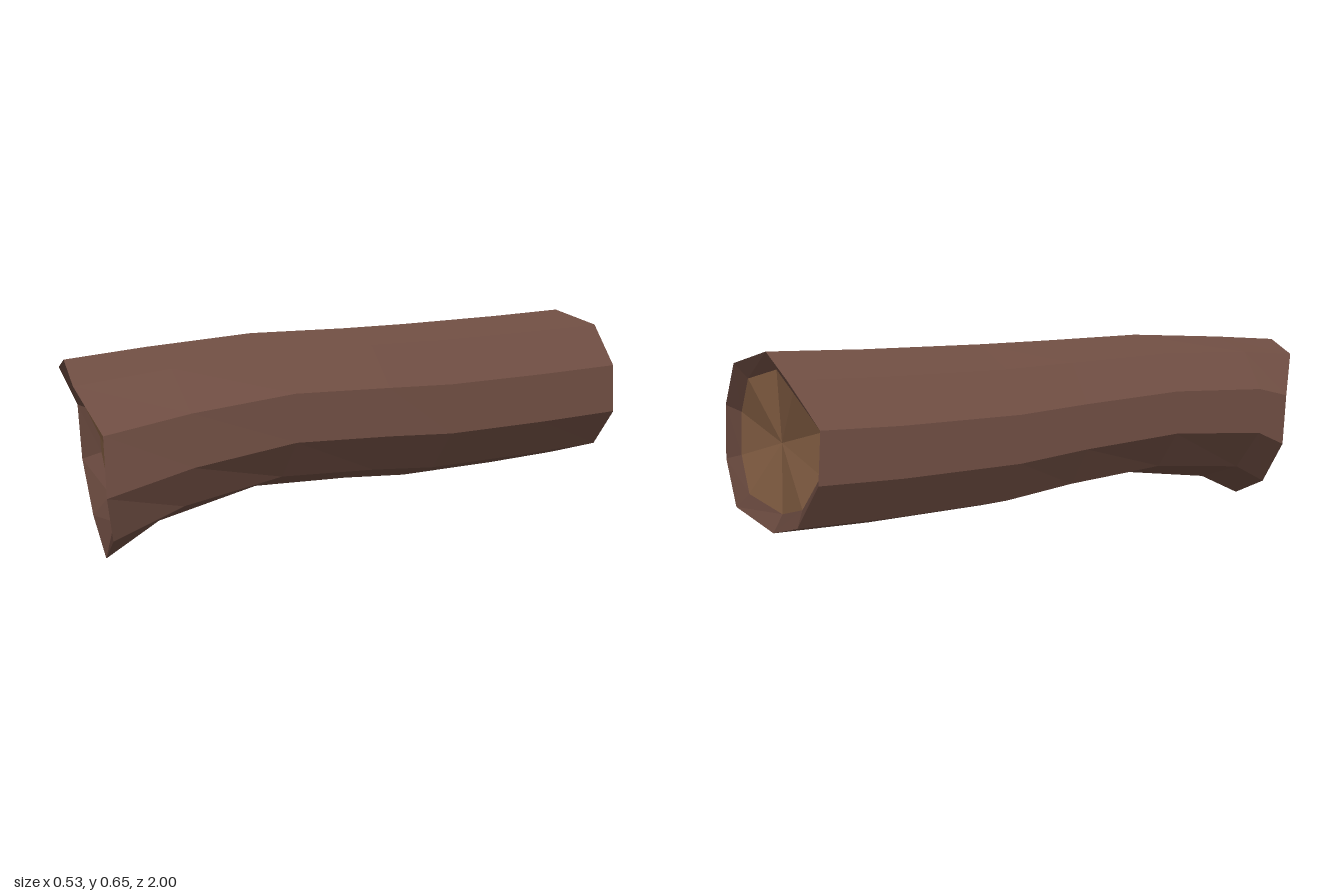
import * as THREE from 'three';

const SIDES = 10;

// End outlines [x, y, z], starting at the top and running towards +x
const frontEnd = [
  [-0.04, 0.577, 0.955], [0.125, 0.52, 1.0], [0.245, 0.395, 0.97], [0.258, 0.225, 0.97], [0.205, 0.09, 0.93],
  [0.045, 0, 0.88], [-0.15, 0.085, 0.83], [-0.265, 0.24, 0.81], [-0.265, 0.41, 0.82], [-0.185, 0.54, 0.91],
];
const backEnd = [
  [0.005, 0.65, -0.95], [0.162, 0.603, -0.99], [0.262, 0.465, -0.985], [0.265, 0.3, -0.99], [0.165, 0.17, -1.0],
  [0.0, 0.118, -0.95], [-0.16, 0.165, -0.94], [-0.248, 0.3, -0.91], [-0.25, 0.455, -0.9], [-0.16, 0.587, -0.955],
];
// Inner edge of the bark at the front, [x, y]
const frontInner = [
  [-0.04, 0.52], [0.09, 0.475], [0.19, 0.375], [0.21, 0.265], [0.15, 0.17],
  [0.05, 0.1], [-0.11, 0.15], [-0.21, 0.265], [-0.21, 0.395], [-0.15, 0.495],
];
// Sections along the trunk: z, top, bottom, left, right, blend from front to back outline
const sections = [
  [0.7, 0.6, 0.085, -0.262, 0.254, 0.25],
  [0.35, 0.625, 0.145, -0.25, 0.248, 0.7],
  [0.0, 0.625, 0.13, -0.237, 0.248, 0.9],
  [-0.25, 0.628, 0.11, -0.246, 0.25, 1],
  [-0.65, 0.638, 0.11, -0.252, 0.254, 1],
];

// Outline scaled into a unit box
function normalise(ring) {
  const xs = ring.map(p => p[0]), ys = ring.map(p => p[1]);
  const l = Math.min(...xs), r = Math.max(...xs), b = Math.min(...ys), t = Math.max(...ys);
  return ring.map(p => [(p[0] - l) / (r - l), (p[1] - b) / (t - b)]);
}

function geometryFrom(points, index) {
  const g = new THREE.BufferGeometry();
  g.setAttribute('position', new THREE.Float32BufferAttribute(points.flat(), 3));
  g.setIndex(index);
  const flat = g.toNonIndexed();
  flat.computeVertexNormals();
  return flat;
}

// Skin over a list of rings
function loft(rings) {
  const index = [];
  for (let i = 0; i < rings.length - 1; i++) {
    for (let k = 0; k < SIDES; k++) {
      const n = (k + 1) % SIDES;
      const a = i * SIDES + k, b = i * SIDES + n, c = b + SIDES, d = a + SIDES;
      index.push(a, b, c, a, c, d);
    }
  }
  return geometryFrom(rings.flat(), index);
}

// Slightly dished cut face; facing is 1 for +z and -1 for -z
function cutFace(ring, facing) {
  const centre = [0, 1, 2].map(j => ring.reduce((s, p) => s + p[j], 0) / SIDES);
  centre[2] -= 0.015 * facing;
  const index = [];
  for (let k = 0; k < SIDES; k++) {
    const n = (k + 1) % SIDES;
    index.push(SIDES, ...(facing > 0 ? [n, k] : [k, n]));
  }
  return geometryFrom([...ring, centre], index);
}

export function createModel() {
  const group = new THREE.Group();
  group.name = 'log';
  const barkMaterial = new THREE.MeshStandardMaterial({ color: 0x6d4c41, flatShading: true });
  const woodMaterial = new THREE.MeshStandardMaterial({ color: 0x92694b, flatShading: true });

  // Trunk rings blended between the two end outlines
  const f = normalise(frontEnd), b = normalise(backEnd);
  const trunk = sections.map(([z, top, bottom, left, right, w]) => f.map((p, k) => [
    THREE.MathUtils.lerp(left, right, THREE.MathUtils.lerp(p[0], b[k][0], w)),
    THREE.MathUtils.lerp(bottom, top, THREE.MathUtils.lerp(p[1], b[k][1], w)),
    z,
  ]));

  // Bark lips turn inwards at both ends
  const frontLip = frontInner.map(([x, y], k) => [x, y, frontEnd[k][2] - 0.04]);
  const backLip = backEnd.map(([x, y, z]) => [x * 0.8, 0.383 + (y - 0.383) * 0.8, z + 0.03]);

  const add = (name, geometry, material) => {
    const mesh = new THREE.Mesh(geometry, material);
    mesh.name = name;
    group.add(mesh);
  };
  add('bark', loft([frontLip, frontEnd, ...trunk, backEnd, backLip]), barkMaterial);
  add('frontCutFace', cutFace(frontLip, 1), woodMaterial);
  add('backCutFace', cutFace(backLip, -1), woodMaterial);
  return group;
}
